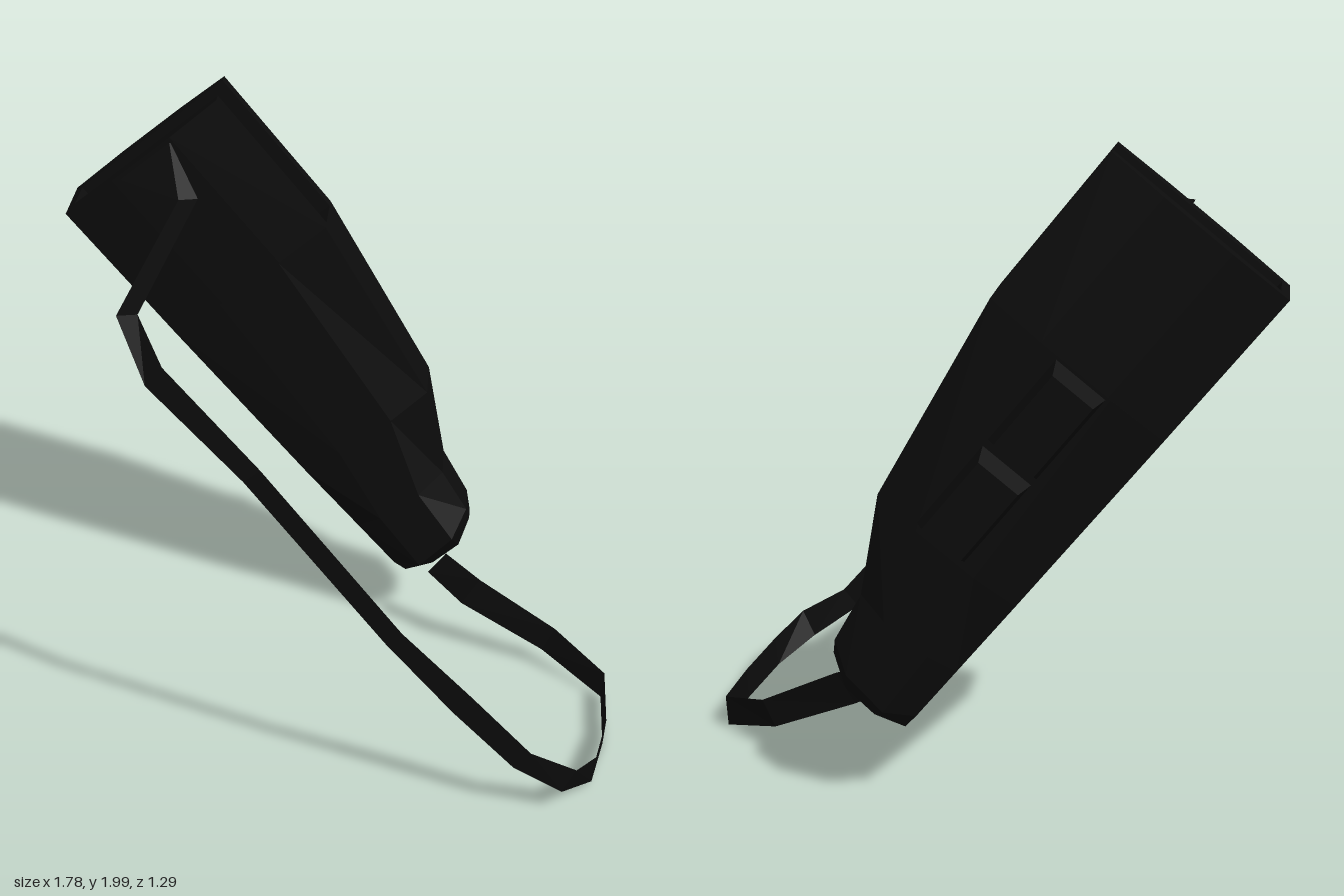
import * as THREE from 'three';

const black = new THREE.MeshStandardMaterial({ color: 0x0c0c0c, side: THREE.DoubleSide });
black.name = 'blackLeather';

// Faceted loft through rings of equal point count
function loft(rings, closed) {
  const pos = [];
  const n = rings[0].length;
  for (let i = 0; i < rings.length - 1; i++) {
    for (let j = 0; j < (closed ? n : n - 1); j++) {
      const k = (j + 1) % n;
      const a = rings[i][j], b = rings[i][k], c = rings[i + 1][j], d = rings[i + 1][k];
      pos.push(...a, ...b, ...c, ...b, ...d, ...c);
    }
  }
  const g = new THREE.BufferGeometry();
  g.setAttribute('position', new THREE.Float32BufferAttribute(pos, 3));
  g.computeVertexNormals();
  return g;
}

function part(name, geometry) {
  const m = new THREE.Mesh(geometry, black);
  m.name = name;
  return m;
}

// Eight-sided section: across x, along y (one value or one per column), depth z
function ring(along, left, right, bevel, edge, half) {
  const v = Array.isArray(along) ? along : [along, along, along, along];
  const u = [left, left + bevel, right - bevel, right];
  const h = [edge, half, half, edge];
  const side = u.map((x, i) => [x, v[i], h[i]]);
  return [...side, ...side.map(([x, y, z]) => [x, y, -z]).reverse()];
}
const point = (x, y) => Array.from({ length: 8 }, () => [x, y, 0]);

export function createModel() {
  const model = new THREE.Group();
  model.name = 'holsterWithStrap';

  // Tilted frame: x across the mouth, y down the holster, z to the back
  const holster = new THREE.Group();
  holster.name = 'holster';
  const across = new THREE.Vector3(0.78, 0.625, 0).normalize();
  const down = new THREE.Vector3(across.y, -across.x, 0);
  holster.quaternion.setFromRotationMatrix(
    new THREE.Matrix4().makeBasis(across, down, new THREE.Vector3(0, 0, -1)));
  holster.position.set(-0.89, 1.61, -0.457);
  model.add(holster);

  // Upper sleeve, open along one side
  const half = [[0.627, 0.063], [0.627, 0.1], [0.44, 0.12], [0.2, 0.12], [0, 0.1]];
  const outline = [
    ...half, ...half.map(([x, y]) => [x, -y]).reverse(), [0.03, -0.063], [0.03, 0.063],
  ].map(([x, y]) => new THREE.Vector2(x, y));
  const sleeve = new THREE.ExtrudeGeometry(new THREE.Shape(outline), { depth: 0.528, bevelEnabled: false });
  sleeve.rotateX(-Math.PI / 2);
  holster.add(part('openSleeve', sleeve));

  // Lower body: pocket floor, pocket wall, rim, outer wall and rounded tip
  holster.add(part('lowerBody', loft([
    point(0.17, 1.42),
    ring(1.42, 0.03, 0.34, 0.08, 0.063, 0.063),
    ring(1.195, 0.03, 0.48, 0.1, 0.063, 0.063),
    ring(0.528, 0.03, 0.59, 0.15, 0.063, 0.063),
    ring(0.528, 0, 0.627, 0.19, 0.1, 0.12),
    ring(1.195, 0, 0.516, 0.15, 0.085, 0.12),
    ring(1.48, 0, 0.363, 0.1, 0.07, 0.12),
    ring([1.68, 1.71, 1.69, 1.65], 0, 0.335, 0.09, 0.06, 0.12),
    ring([1.743, 1.773, 1.765, 1.7], 0, 0.31, 0.095, 0.03, 0.035),
    point(0.15, 1.76),
  ], true)));

  // Two tapered belt loops on the back
  [0.69, 1.02].forEach((y, i) => {
    const g = new THREE.BoxGeometry(0.18, 0.31, 0.08).toNonIndexed();
    const p = g.attributes.position;
    for (let k = 0; k < p.count; k++) {
      if (p.getZ(k) > 0) p.setXY(k, p.getX(k) * 0.8, p.getY(k) * 0.84);
    }
    g.computeVertexNormals();
    const loop = part('beltLoop' + (i + 1), g);
    loop.position.set(0.29, y, 0.153);
    holster.add(loop);
  });

  // Carrying strap: centre x, y, z, then half width in x and y
  const path = [
    [-0.635, 1.81, -0.345, 0.085, 0.068],
    [-0.48, 1.73, -0.23, 0.03, 0.003],
    [-0.55, 1.71, 0.49, 0.03, 0.003],
    [-0.47, 1.57, 0.58, 0.025, 0.03],
    [-0.2, 1.3, 0.642, 0.024, 0.02],
    [0.2, 0.72, 0.592, 0.024, 0.02],
    [0.41, 0.46, 0.565, 0.028, 0.03],
    [0.6, 0.245, 0.555, 0.025, 0.03],
    [0.75, 0.15, 0.53, 0.02, 0.045],
    [0.835, 0.09, 0.4, 0.004, 0.05],
    [0.88, 0.06, 0.18, 0.003, 0.05],
    [0.884, 0.065, -0.06, 0.003, 0.05],
    [0.7, 0.135, -0.21, 0.02, 0.045],
    [0.43, 0.27, -0.28, 0.03, 0.05],
    [0.31, 0.34, -0.345, 0.03, 0.04],
  ];
  model.add(part('strap', loft(path.map(([x, y, z, a, b]) => [[x - a, y - b, z], [x + a, y + b, z]]), false)));

  return model;
}
